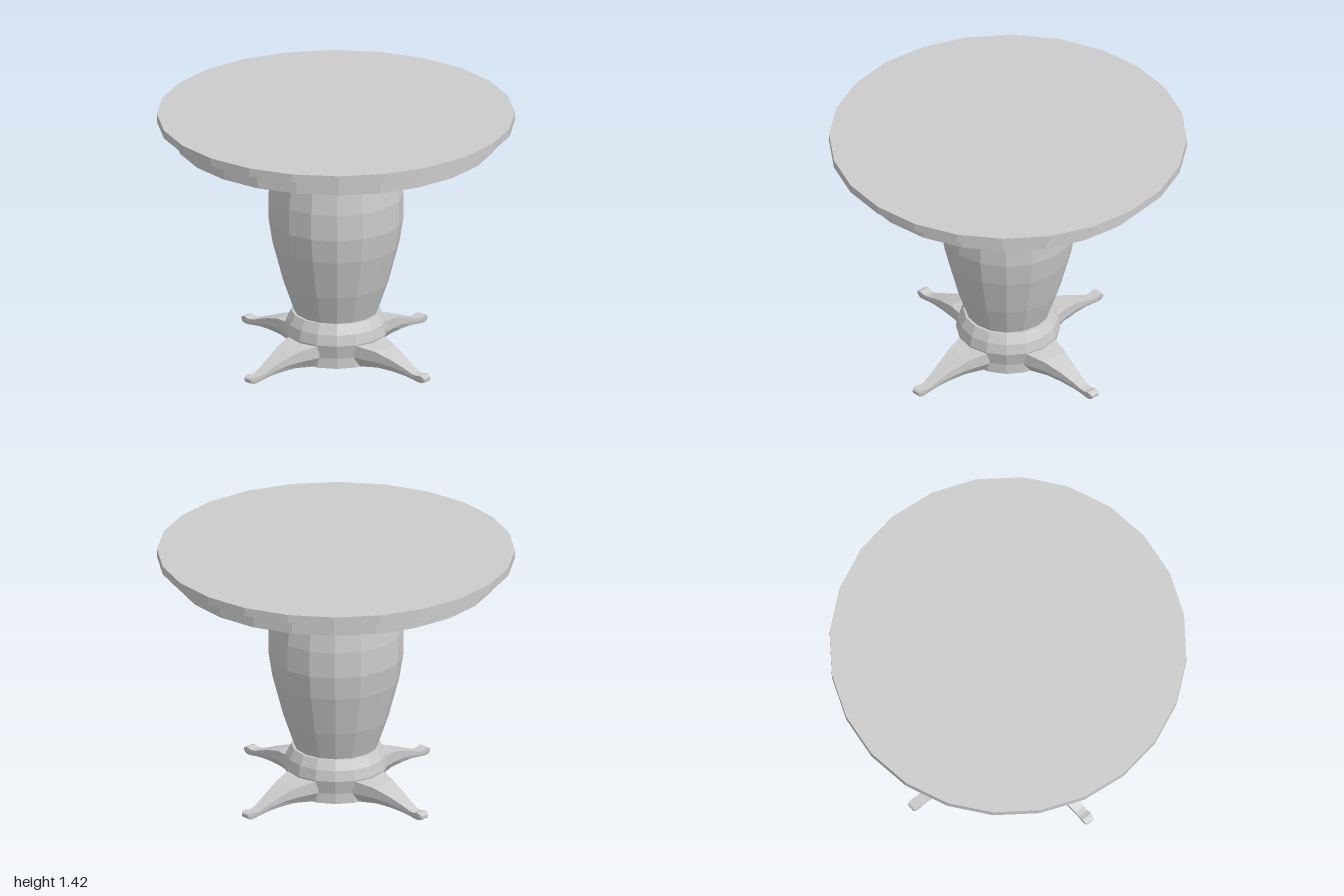
import * as THREE from 'three';

const material = new THREE.MeshStandardMaterial({ color: 0xcccccc, flatShading: true });
const openMaterial = new THREE.MeshStandardMaterial({ color: 0xcccccc, flatShading: true, side: THREE.DoubleSide });

function addMesh(parent, name, geometry, mat = material) {
  const mesh = new THREE.Mesh(geometry, mat);
  mesh.name = name;
  parent.add(mesh);
  return mesh;
}

function disc(radius, bottom, top) {
  return new THREE.CylinderGeometry(radius, radius, top - bottom, 24).translate(0, (top + bottom) / 2, 0);
}

function lathe(profile, sides) {
  return new THREE.LatheGeometry(profile.map(([r, y]) => new THREE.Vector2(r, y)), sides);
}

// Leg running along +x, lofted through six-sided sections:
// [x, half width at top, half width at bottom, top y, shoulder y, bottom y]
function legGeometry() {
  const sections = [
    [0.25, 0.115, 0.075, 0.135, 0.06, 0.0],
    [0.38, 0.08, 0.055, 0.12, 0.06, 0.02],
    [0.48, 0.055, 0.042, 0.09, 0.05, 0.02],
    [0.56, 0.038, 0.032, 0.06, 0.035, 0.014],
    [0.62, 0.03, 0.026, 0.037, 0.02, 0.005],
    [0.65, 0.03, 0.026, 0.034, 0.018, 0.0],
    [0.68, 0.032, 0.028, 0.043, 0.02, 0.0],
    [0.7, 0.03, 0.025, 0.038, 0.02, 0.004],
    [0.71, 0.025, 0.022, 0.03, 0.02, 0.012],
  ];
  const positions = [];
  const index = [];
  for (const [x, w, wb, yt, ym, yb] of sections) {
    positions.push(x, yt, w, x, yt, -w, x, ym, -w, x, yb, -wb, x, yb, wb, x, ym, w);
  }
  for (let i = 0; i < sections.length - 1; i++) {
    for (let j = 0; j < 6; j++) {
      const a = i * 6 + j;
      const b = i * 6 + (j + 1) % 6;
      index.push(a, a + 6, b, b, a + 6, b + 6);
    }
  }
  // Close the toe
  const end = (sections.length - 1) * 6;
  for (let j = 1; j < 5; j++) index.push(end, end + j + 1, end + j);
  const geometry = new THREE.BufferGeometry();
  geometry.setAttribute('position', new THREE.Float32BufferAttribute(positions, 3));
  geometry.setIndex(index);
  geometry.computeVertexNormals();
  return geometry;
}

export function createModel() {
  const table = new THREE.Group();
  table.name = 'pedestalTable';

  // Round top and the apron below it
  addMesh(table, 'tableTop', disc(1, 1.378, 1.425));
  addMesh(table, 'apron', disc(0.905, 1.275, 1.378));

  // Bulging column
  addMesh(table, 'column', lathe([
    [0.235, 0.255], [0.295, 0.43], [0.355, 0.66], [0.377, 0.8],
    [0.377, 0.95], [0.358, 1.09], [0.315, 1.276],
  ], 16));

  // Collar at the foot of the column, open underneath
  addMesh(table, 'base', lathe([
    [0.272, 0], [0.272, 0.06], [0.292, 0.14], [0.28, 0.2], [0.25, 0.255], [0.23, 0.255],
  ], 16), openMaterial);

  // Four splayed legs
  const leg = legGeometry();
  for (let i = 0; i < 4; i++) {
    addMesh(table, `leg${i + 1}`, leg).rotation.y = i * Math.PI / 2;
  }
  return table;
}
